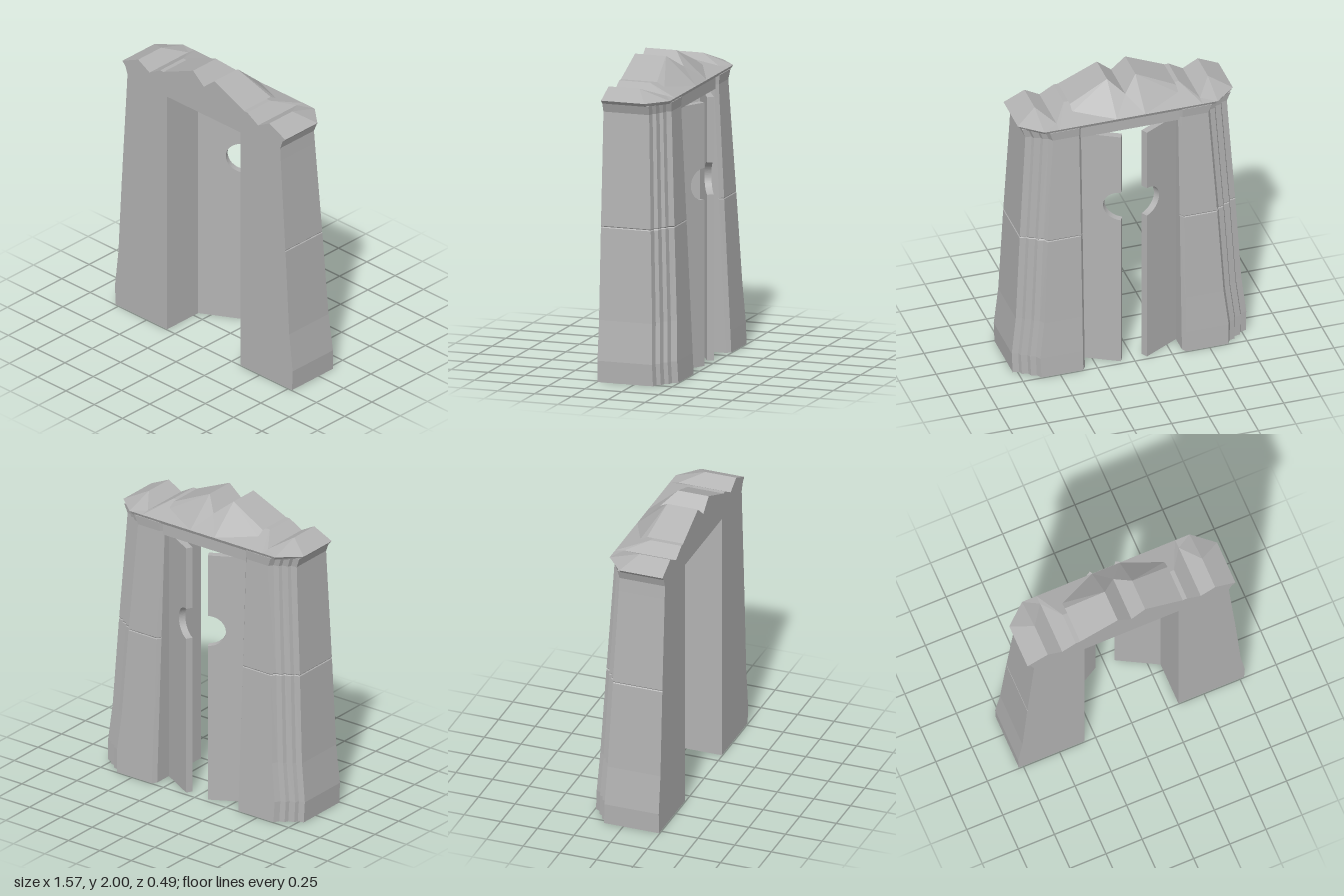
import * as THREE from 'three';

const stone = new THREE.MeshStandardMaterial({ color: 0xb2b2b2 });
stone.name = 'grey stone';

// Triangle list [[x,y,z], ...] to a faceted geometry
function facets(points) {
  const g = new THREE.BufferGeometry();
  g.setAttribute('position', new THREE.Float32BufferAttribute(points.flat(), 3));
  g.computeVertexNormals();
  return g;
}

// Copy of a faceted geometry flipped in x, with faces kept outward
function mirrored(geometry) {
  const p = geometry.getAttribute('position');
  const pts = [];
  for (let i = 0; i < p.count; i += 3) {
    for (const j of [i, i + 2, i + 1]) pts.push([-p.getX(j), p.getY(j), p.getZ(j)]);
  }
  return facets(pts);
}

// Closed solid through levels {y, loop: [[x,z], ...]}
function loft(levels) {
  const pts = [];
  const at = (l, i) => {
    const [x, z] = l.loop[i % l.loop.length];
    return [x, l.y, z];
  };
  for (let k = 0; k < levels.length - 1; k++) {
    const lo = levels[k], hi = levels[k + 1];
    for (let i = 0; i < lo.loop.length; i++) {
      const a = at(lo, i), b = at(lo, i + 1), c = at(hi, i + 1), d = at(hi, i);
      pts.push(a, b, c, a, c, d);
    }
  }
  const cap = (l, up) => {
    const contour = l.loop.map(([x, z]) => new THREE.Vector2(x, -z));
    for (const [a, b, c] of THREE.ShapeUtils.triangulateShape(contour, [])) {
      for (const i of up ? [a, b, c] : [a, c, b]) pts.push(at(l, i));
    }
  };
  cap(levels[0], false);
  cap(levels[levels.length - 1], true);
  return facets(pts);
}

// Roof skin from columns {x, rows: [[y,z], ...]} running front to back
function roofSkin(columns) {
  const pts = [];
  for (let i = 0; i < columns.length - 1; i++) {
    const p = columns[i], q = columns[i + 1];
    for (let r = 0; r < p.rows.length - 1; r++) {
      const a = [p.x, ...p.rows[r]], b = [q.x, ...q.rows[r]];
      const c = [q.x, ...q.rows[r + 1]], d = [p.x, ...p.rows[r + 1]];
      pts.push(a, b, c, a, c, d);
    }
  }
  return facets(pts);
}

const FRONT = 0.245;

// Pillar plan: flat front, stepped outer back corner, narrowing upwards
function pillarLoop(outer, depth) {
  const plan = [
    [0.325, FRONT], [outer, FRONT], [outer, -0.13],
    [outer - 0.04, -0.14], [outer - 0.05, -0.165],
    [outer - 0.09, -0.175], [outer - 0.1, -0.2],
    [outer - 0.135, -0.21], [outer - 0.155, -0.245],
    [0.345, -0.245], [0.325, -0.215],
  ];
  return plan.map(([x, z]) => [x, FRONT - (FRONT - z) * depth]);
}

function pillarGeometry() {
  // y, outer x, depth scale; the narrow level at y = 1 is the joint
  const levels = [
    [0, 0.78, 1], [0.14, 0.785, 0.987], [0.4, 0.755, 0.961],
    [0.994, 0.722, 0.902], [1, 0.717, 0.894], [1.006, 0.721, 0.901],
    [1.65, 0.68, 0.836], [1.74, 0.675, 0.827], [1.802, 0.698, 0.84],
  ];
  return loft(levels.map(([y, x, d]) => ({ y, loop: pillarLoop(x, d) })));
}

// Angled door leaf with half of a round opening
function doorGeometry() {
  const s = new THREE.Shape();
  s.moveTo(0, 0);
  s.lineTo(0.31, 0);
  s.lineTo(0.31, 1.715);
  s.lineTo(0, 1.715);
  s.lineTo(0, 1.29);
  s.absellipse(0, 1.185, 0.115, 0.105, Math.PI / 2, -Math.PI / 2, true);
  s.lineTo(0, 0);
  const g = new THREE.ExtrudeGeometry(s, { depth: 0.045, bevelEnabled: false, curveSegments: 16 });
  g.rotateY(-0.506);
  g.translate(0.087, 0, -0.224);
  return g;
}

// Low side roof with two small peaks
function sideRoofGeometry() {
  const columns = [
    [0, 1.885, 0.035, -0.17], [0.385, 1.885, 0.035, -0.17],
    [0.48, 1.83, -0.11, -0.17], [0.58, 1.885, 0.035, -0.17],
    [0.72, 1.82, -0.05, -0.05],
  ];
  return roofSkin(columns.map(([x, y, ridgeEnd, back]) => ({
    x, rows: [[1.82, FRONT], [y, FRONT], [y, ridgeEnd], [1.82, back]],
  })));
}

// Tall central gable, one half
function gableGeometry() {
  return roofSkin([
    { x: 0, rows: [[1.82, FRONT], [1.92, FRONT], [1.92, -0.05], [1.822, -0.168]] },
    { x: 0.095, rows: [[1.82, FRONT], [2, FRONT], [2, 0.035], [1.822, -0.168]] },
    { x: 0.355, rows: [[1.82, FRONT], [1.886, FRONT], [1.886, 0], [1.856, -0.05]] },
  ]);
}

// Thin eave slab under the roof
function eaveGeometry() {
  const plan = (x, corner, back) => [
    [-x, FRONT], [x, FRONT], [x, -0.05], [corner, back], [-corner, back], [-x, -0.05],
  ];
  return loft([
    { y: 1.798, loop: plan(0.7, 0.565, -0.16) },
    { y: 1.82, loop: plan(0.72, 0.58, -0.17) },
  ]);
}

export function createModel() {
  const group = new THREE.Group();
  group.name = 'stoneGate';
  const add = (name, geometry) => {
    const mesh = new THREE.Mesh(geometry, stone);
    mesh.name = name;
    group.add(mesh);
  };
  const addPair = (name, geometry) => {
    add('left' + name, geometry);
    add('right' + name, mirrored(geometry));
  };

  addPair('Pillar', pillarGeometry());
  addPair('DoorLeaf', doorGeometry());
  addPair('SideRoof', sideRoofGeometry());
  addPair('Gable', gableGeometry());
  add('eave', eaveGeometry());

  // Lintel spanning the pillars
  const lintel = new THREE.BoxGeometry(0.66, 0.087, 0.39);
  lintel.translate(0, 1.7585, 0.05);
  add('lintel', lintel);

  return group;
}
